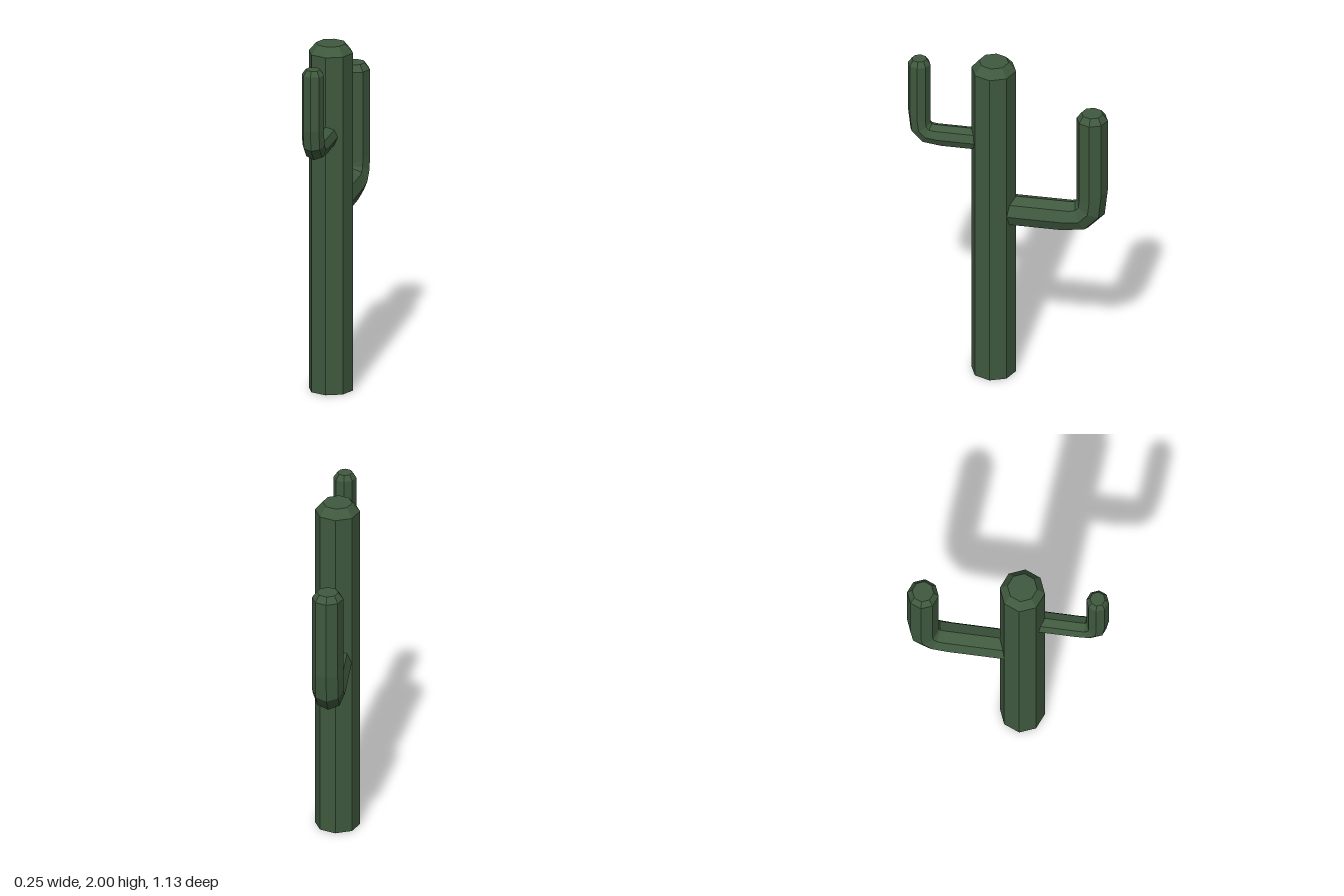
import * as THREE from 'three';

const SIDES = 8;
const cactusGreen = new THREE.MeshStandardMaterial({ color: 0x3f593e, flatShading: true });

// Eight-sided tube lofted in the z/y plane. Each ring is
// [outerZ, outerY, innerZ, innerY, halfWidth]; both ends are capped.
function loft(name, rings) {
  const pos = [], index = [];
  for (const [oz, oy, iz, iy, w] of rings) {
    const cz = (oz + iz) / 2, cy = (oy + iy) / 2;
    for (let k = 0; k < SIDES; k++) {
      const a = (k / SIDES) * Math.PI * 2, c = Math.cos(a);
      pos.push(w * Math.sin(a), cy + (oy - cy) * c, cz + (oz - cz) * c);
    }
  }
  // Winding follows the side of the trunk the shape grows toward
  const flip = rings[0][0] > rings[rings.length - 1][0];
  const tri = (a, b, c) => (flip ? index.push(a, c, b) : index.push(a, b, c));
  for (let r = 0; r < rings.length - 1; r++) {
    for (let k = 0; k < SIDES; k++) {
      const a = r * SIDES + k, b = r * SIDES + ((k + 1) % SIDES);
      tri(a, b, b + SIDES);
      tri(a, b + SIDES, a + SIDES);
    }
  }
  const end = (rings.length - 1) * SIDES;
  for (let k = 1; k < SIDES - 1; k++) {
    tri(0, k + 1, k);
    tri(end, end + k, end + k + 1);
  }
  const geometry = new THREE.BufferGeometry();
  geometry.setAttribute('position', new THREE.Float32BufferAttribute(pos, 3));
  geometry.setIndex(index);
  geometry.computeVertexNormals();
  const mesh = new THREE.Mesh(geometry, cactusGreen);
  mesh.name = name;
  return mesh;
}

export function createModel() {
  const cactus = new THREE.Group();
  cactus.name = 'cactus';

  // Trunk with a bevelled crown
  const profile = [[0, 0], [0.126, 0], [0.126, 1.95], [0.083, 2], [0, 2]];
  const trunk = new THREE.Mesh(
    new THREE.LatheGeometry(profile.map(([x, y]) => new THREE.Vector2(x, y)), SIDES),
    cactusGreen
  );
  trunk.name = 'trunk';
  trunk.position.z = 0.08;
  cactus.add(trunk);

  // Thick lower arm at the back
  cactus.add(loft('backArm', [
    [0.02, 0.96, 0.02, 1.138, 0.088],
    [-0.29, 0.96, -0.36, 1.138, 0.088],
    [-0.45, 0.98, -0.378, 1.143, 0.088],
    [-0.545, 1.08, -0.385, 1.152, 0.088],
    [-0.563, 1.24, -0.387, 1.17, 0.088],
    [-0.563, 1.69, -0.387, 1.69, 0.088],
    [-0.535, 1.727, -0.415, 1.727, 0.06],
  ]));

  // Thin upper arm at the front
  cactus.add(loft('frontArm', [
    [0.15, 1.425, 0.15, 1.55, 0.063],
    [0.36, 1.425, 0.415, 1.55, 0.063],
    [0.48, 1.44, 0.43, 1.553, 0.063],
    [0.549, 1.51, 0.436, 1.56, 0.063],
    [0.563, 1.63, 0.438, 1.575, 0.063],
    [0.563, 1.94, 0.438, 1.94, 0.063],
    [0.542, 1.97, 0.458, 1.97, 0.042],
  ]));

  return cactus;
}
